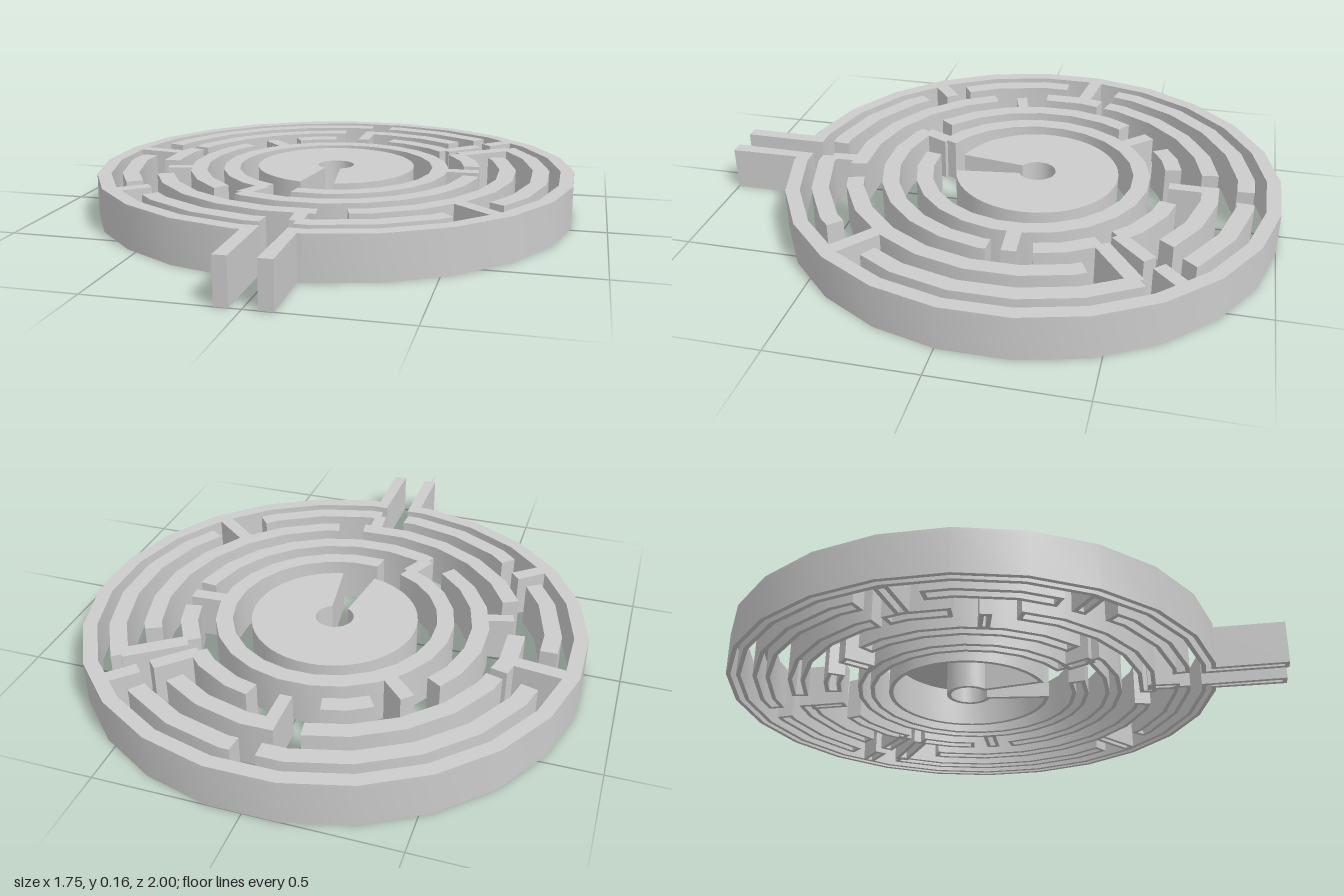
import * as THREE from 'three';
import { mergeGeometries, toCreasedNormals } from 'three/addons/utils/BufferGeometryUtils.js';

const H = 0.155;      // wall height
const T = 0.015;      // shell thickness, hollow and open underneath
const W = 0.06;       // ring wall width
const CZ = -0.125;    // z of the maze centre
const STEP = 15;      // degrees per ring facet
const rad = THREE.MathUtils.degToRad;

const material = new THREE.MeshStandardMaterial({ color: 0xcccccc });

// Plan point: angle in degrees clockwise from the back; plan y is -z
const polar = (r, deg) => new THREE.Vector2(r * Math.sin(rad(deg)), -CZ + r * Math.cos(rad(deg)));

// Point on a 24-sided ring with flats on the axes
function onRing(r, deg) {
  const off = deg - Math.round(deg / STEP) * STEP;
  return polar(r * Math.cos(rad(STEP / 2)) / Math.cos(rad(off)), deg);
}

function arcPoints(r, a0, a1) {
  const pts = [onRing(r, a0)];
  for (let a = (Math.ceil(a0 / STEP - 0.5) + 0.5) * STEP; a < a1 - 0.8; a += STEP) {
    if (a > a0 + 0.8) pts.push(onRing(r, a));
  }
  pts.push(onRing(r, a1));
  return pts;
}

// Mitred inset of a counter-clockwise outline
function inset(pts, t) {
  const n = pts.length;
  const normal = (a, b) => new THREE.Vector2(a.y - b.y, b.x - a.x).normalize();
  return pts.map((p, i) => {
    const n1 = normal(pts[(i + n - 1) % n], p);
    const n2 = normal(p, pts[(i + 1) % n]);
    const k = t / Math.max(0.3, 1 + n1.dot(n2));
    return p.clone().addScaledVector(n1.add(n2), k);
  });
}

// Hollow block from a plan outline: skirt plus top plate
function shell(name, outline) {
  const pts = THREE.ShapeUtils.isClockWise(outline) ? [...outline].reverse() : outline;
  const skirt = new THREE.Shape(pts);
  skirt.holes.push(new THREE.Path(inset(pts, T)));
  const low = new THREE.ExtrudeGeometry(skirt, { depth: H - T, bevelEnabled: false });
  const top = new THREE.ExtrudeGeometry(new THREE.Shape(pts), { depth: T, bevelEnabled: false });
  top.translate(0, 0, H - T);
  const geo = mergeGeometries([low, top]);
  geo.rotateX(-Math.PI / 2);
  const mesh = new THREE.Mesh(toCreasedNormals(geo, 0.5), material);
  mesh.name = name;
  return mesh;
}

const arcWall = (r, a0, a1) =>
  [...arcPoints(r + W / 2, a0, a1), ...arcPoints(r - W / 2, a0, a1).reverse()];

function radialWall(deg, r0, r1, w = 0.05) {
  const side = new THREE.Vector2(Math.cos(rad(deg)), -Math.sin(rad(deg))).multiplyScalar(w / 2);
  const a = polar(r0, deg), b = polar(r1, deg);
  return [a.clone().sub(side), b.clone().sub(side), b.clone().add(side), a.clone().add(side)];
}

export function createModel() {
  const group = new THREE.Group();
  group.name = 'roundMaze';

  // Outer wall with the two entrance legs at the front
  const outer = arcPoints(0.883, -174.4, 174.1);
  const inner = arcPoints(0.833, -177.2, 176.6).reverse();
  const leg = (x) => new THREE.Vector2(x, -1);
  group.add(shell('outerWall', [...outer, leg(0.095), leg(0.048), ...inner, leg(-0.04), leg(-0.085)]));

  // Concentric wall pieces: radius, then start and end angles
  const rings = [
    [0.762, [[-74, -1], [5, 38.5], [53, 122.6], [138.7, 176], [-122.6, -90], [-176, -137]]],
    [0.64, [[-2, 36.3], [-73, -9.5], [-96, -76], [172, 245], [64, 163]]],
    [0.514, [[54, 78.5], [95, 206], [-142.6, -57], [-31.6, -13.5], [13.3, 46]]],
    [0.392, [[-156, 188]]],
  ];
  rings.forEach(([r, arcs], i) =>
    arcs.forEach(([a0, a1]) => group.add(shell(`ringWall${i + 1}`, arcWall(r, a0, a1)))));

  // Cross walls and stubs: angle, inner radius, outer radius, width
  const cross = [
    [45.5, 0.72, 0.84], [-129, 0.72, 0.84], [129, 0.655, 0.84], [-82.5, 0.655, 0.84],
    [54, 0.53, 0.755, 0.055], [45.6, 0.51, 0.675], [0, 0.49, 0.625, 0.043],
    [176, 0.635, 0.75, 0.045], [-105.5, 0.53, 0.63, 0.04], [87, 0.41, 0.535],
    [-44, 0.41, 0.53], [-154.5, 0.40, 0.51],
  ];
  cross.forEach((c) => group.add(shell('crossWall', radialWall(...c))));

  // Central disc with a keyhole: round hole and flaring slot
  const C = new THREE.Vector2(-0.003, 0.14);
  const circle = (r, half, n) => Array.from({ length: n + 1 }, (_, i) => {
    const a = rad(-180 + half + (360 - 2 * half) * i / n);
    return new THREE.Vector2(C.x + r * Math.sin(a), C.y + r * Math.cos(a));
  });
  group.add(shell('keyholeDisc', [...circle(0.293, 12, 46), ...circle(0.067, 26, 20).reverse()]));

  return group;
}
